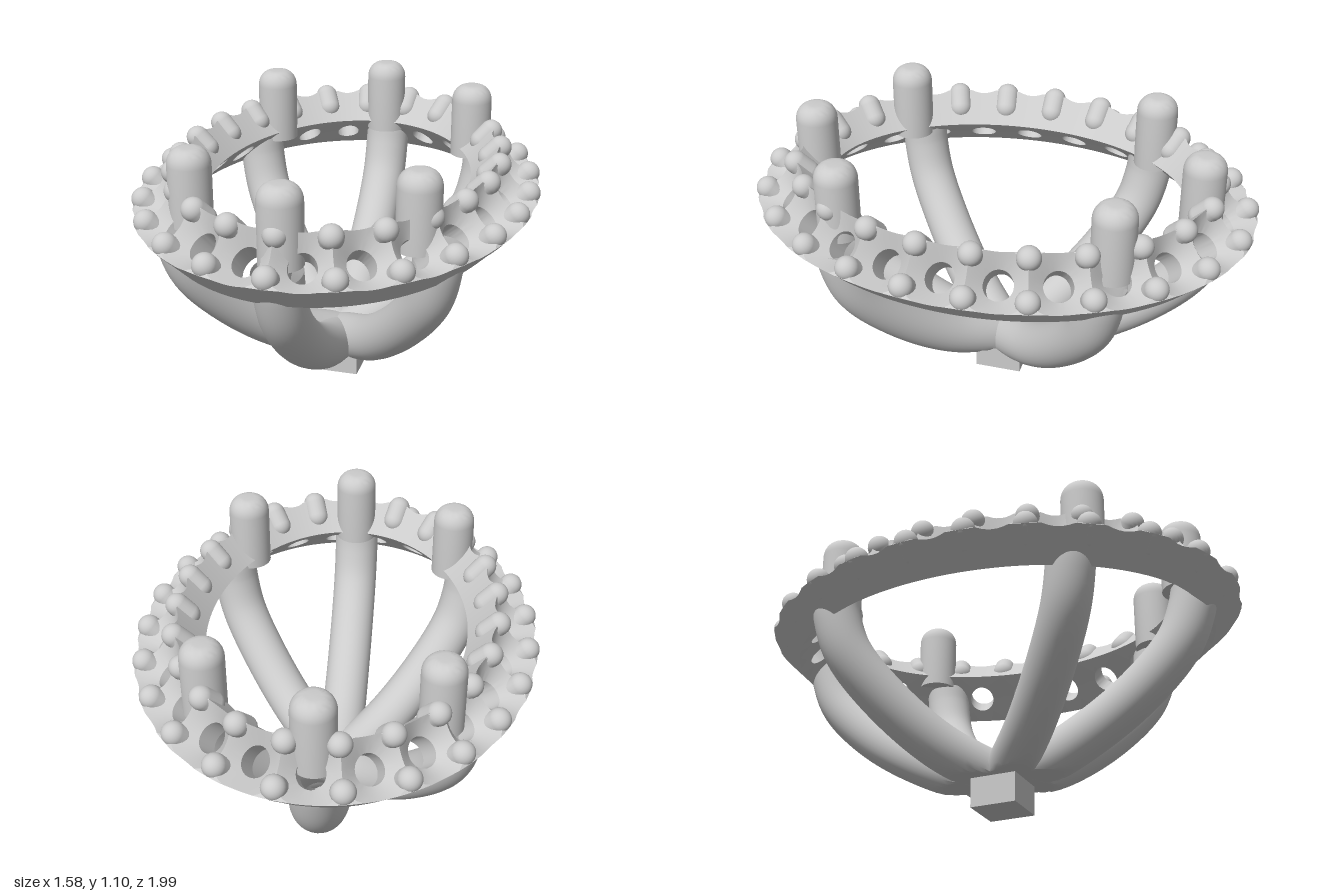
import * as THREE from 'three';
import { toCreasedNormals } from 'three/addons/utils/BufferGeometryUtils.js';

const COUNT = 23;              // stone seats around the oval
const RX = 0.51, RZ = 0.72;    // inner oval
// Tilted band profile as [offset from inner oval, height]
const A = [0.275, 0.80], D = [0.11, 0.95], B = [0.165, 0.69];

// Point on the oval pushed outward by o
function oval(t, o, y) {
  const n = new THREE.Vector2(Math.sin(t) / RX, Math.cos(t) / RZ).normalize();
  return new THREE.Vector3(RX * Math.sin(t) + n.x * o, y, RZ * Math.cos(t) + n.y * o);
}

// Even spacing: table of arc lengths along the oval
const STEPS = 1440, lengths = [0];
for (let i = 1; i <= STEPS; i++) {
  const k = (2 * Math.PI) / STEPS;
  lengths.push(lengths[i - 1] + oval(i * k, 0.2, 0).distanceTo(oval((i - 1) * k, 0.2, 0)));
}
function angleAt(cell) {
  const turns = Math.floor(cell / COUNT);
  const target = (cell / COUNT - turns) * lengths[STEPS];
  let i = 1;
  while (i < STEPS && lengths[i] < target) i++;
  const f = (target - lengths[i - 1]) / (lengths[i] - lengths[i - 1]);
  return ((i - 1 + f) / STEPS + turns) * 2 * Math.PI;
}

// Band space: position along (cells), v up the face 0..1, d depth 0..1
function onBand(cell, v, d) {
  const at = (k) => A[k] + v * (D[k] - A[k]) + d * (B[k] - A[k]);
  return oval(angleAt(cell), at(0), at(1));
}

// Band made of square cells, each with a conical seat and a through hole
function bandGeometry() {
  const N = 40, pos = [], index = [];
  const cone = (r) => Math.max(0, (0.56 - r) * 1.45);
  const edge = (p) => 0.5 / Math.max(Math.abs(Math.cos(p)), Math.abs(Math.sin(p)));
  const rings = [
    (p) => [edge(p), cone(edge(p))],
    (p) => { const r = Math.min(edge(p) * 0.98, 0.56); return [r, cone(r)]; },
    () => [0.42, cone(0.42)],
    () => [0.26, cone(0.26)],
    () => [0.26, 1],
    (p) => [edge(p), 1],
  ];
  for (let c = 0; c < COUNT; c++) {
    const base = pos.length / 3;
    for (const ring of rings) {
      for (let i = 0; i < N; i++) {
        const p = (i / N) * 2 * Math.PI, [r, d] = ring(p);
        pos.push(...onBand(c + 0.5 + r * Math.cos(p), 0.5 + r * Math.sin(p), d).toArray());
      }
    }
    for (let j = 0; j < rings.length; j++) {
      for (let i = 0; i < N; i++) {
        const j2 = (j + 1) % rings.length, i2 = (i + 1) % N;
        const a = base + j * N + i, b = base + j * N + i2;
        const e = base + j2 * N + i2, f = base + j2 * N + i;
        index.push(a, b, e, a, e, f);
      }
    }
  }
  const g = new THREE.BufferGeometry();
  g.setAttribute('position', new THREE.Float32BufferAttribute(pos, 3));
  g.setIndex(index);
  return toCreasedNormals(g, 0.6);
}

// Curved arm from the base to the band, cut flat underneath
function armGeometry(profile, angle) {
  const path = new THREE.CatmullRomCurve3(profile.map(([r, y]) =>
    new THREE.Vector3(r * Math.sin(angle), y, r * Math.cos(angle))));
  const g = new THREE.TubeGeometry(path, 40, 0.094, 32);
  const p = g.attributes.position;
  for (let i = 0; i < p.count; i++) p.setY(i, Math.max(0.12, p.getY(i)));
  return toCreasedNormals(g, 0.6);
}

export function createModel() {
  const model = new THREE.Group();
  const grey = new THREE.MeshStandardMaterial({ color: 0xcccccc });
  const open = new THREE.MeshStandardMaterial({ color: 0xcccccc, side: THREE.DoubleSide });
  const add = (name, geometry, material = grey) => {
    const mesh = new THREE.Mesh(geometry, material);
    mesh.name = name;
    model.add(mesh);
    return mesh;
  };

  add('ovalBand', bandGeometry());

  // Pairs of small rounded beads between the seats
  const beadGeometry = new THREE.CapsuleGeometry(0.046, 0.06, 8, 20);
  const up = new THREE.Vector3(0, 1, 0);
  for (let c = 0; c < COUNT; c++) {
    for (const [name, v] of [['outerBead', 0.2], ['innerBead', 0.92]]) {
      const surface = onBand(c, v, 0);
      const normal = surface.clone().sub(onBand(c, v, 1)).normalize();
      const bead = add(name, beadGeometry);
      bead.position.copy(surface).addScaledVector(normal, -0.04);
      bead.quaternion.setFromUnitVectors(up, normal);
    }
  }

  // Six tall claws with rounded tops
  const outline = [new THREE.Vector2(0, 0.8), new THREE.Vector2(0.083, 0.8)];
  for (let i = 0; i <= 8; i++) {
    const a = (i / 8) * Math.PI / 2;
    outline.push(new THREE.Vector2(0.028 + 0.055 * Math.cos(a), 1.035 + 0.065 * Math.sin(a)));
  }
  outline.push(new THREE.Vector2(0, 1.1));
  const clawGeometry = toCreasedNormals(new THREE.LatheGeometry(outline, 40), 0.6);
  for (const s of [1, -1]) {
    for (const [x, z] of [[0, 0.78], [0.43, 0.525], [-0.43, 0.525]]) {
      add('claw', clawGeometry).position.set(x, 0, s * z);
    }
  }

  // Six arms: front and back, and four diagonals
  const longArm = [[0, 0.12], [0.27, 0.215], [0.56, 0.39], [0.75, 0.58], [0.81, 0.72], [0.825, 0.79]];
  const diagonalArm = [[0, 0.13], [0.27, 0.24], [0.5, 0.41], [0.65, 0.58], [0.7, 0.72], [0.71, 0.8]];
  for (let i = 0; i < 2; i++) add('longArm', armGeometry(longArm, i * Math.PI), open);
  for (let i = 0; i < 4; i++) add('diagonalArm', armGeometry(diagonalArm, (i + 0.5) * Math.PI / 2), open);

  // Square base peg
  add('basePeg', new THREE.BoxGeometry(0.19, 0.125, 0.19)).position.y = 0.0625;

  return model;
}
